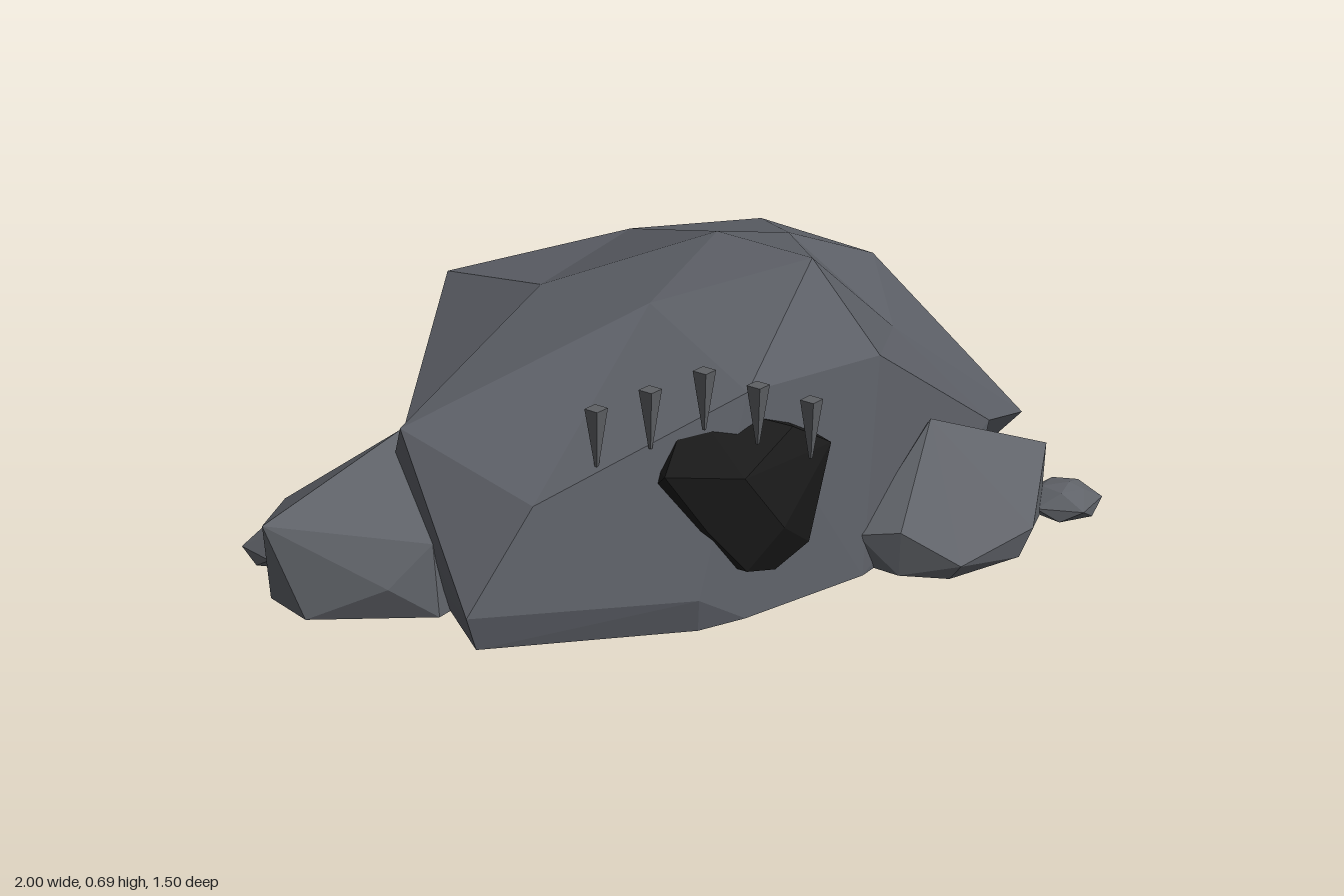
import * as THREE from 'three';
import { ConvexGeometry } from 'three/addons/geometries/ConvexGeometry.js';

const material = (name, color) => {
  const m = new THREE.MeshStandardMaterial({ color, side: THREE.DoubleSide, flatShading: true });
  m.name = name;
  return m;
};

// Faceted shell around corner points, left open where it rests on the ground.
// With a centre given, corners are joined by direction, so shallow dents survive.
function rock(name, points, mat, centre) {
  const corners = points.map(p => new THREE.Vector3(...p));
  const directions = centre && corners.map(c => c.clone().sub(centre).normalize());
  const src = new ConvexGeometry(directions || corners).attributes.position;
  const kept = [];
  for (let i = 0; i < src.count; i += 3) {
    const face = [0, 1, 2].map(k => {
      const v = new THREE.Vector3().fromBufferAttribute(src, i + k);
      return directions ? corners[directions.findIndex(d => d.distanceTo(v) < 1e-4)] : v;
    });
    if (face.some(v => v.y > 0.001)) face.forEach(v => kept.push(v.x, v.y, v.z));
  }
  const geometry = new THREE.BufferGeometry();
  geometry.setAttribute('position', new THREE.Float32BufferAttribute(kept, 3));
  geometry.computeVertexNormals();
  const mesh = new THREE.Mesh(geometry, mat);
  mesh.name = name;
  return mesh;
}

// Small stone: two staggered five-sided rings, a flat base and an off-centre peak
function pebble(name, x, z, r, h, turn, mat) {
  const points = [[r * 0.12, h, r * 0.1]];
  for (const [y, s, shift] of [[0, 0.8, 0], [0.4, 1, 0.63], [0.85, 0.55, 0]]) {
    for (let i = 0; i < 5; i++) {
      const a = turn + shift + i * Math.PI * 0.4;
      points.push([Math.cos(a) * r * s, y * h, Math.sin(a) * r * s]);
    }
  }
  const mesh = rock(name, points, mat);
  mesh.position.set(x, 0, z);
  return mesh;
}

export function createModel() {
  const group = new THREE.Group();
  group.name = 'rockCave';
  const stone = material('stone', 0x5c5f66);
  const lightStone = material('lightStone', 0x606369);
  const dark = material('caveDark', 0x1a1a1a);
  const spikeStone = material('spikeStone', 0x5e6064);

  // Main mound: crest, flanks, then the ground outline
  group.add(rock('mainRock', [
    [0.10, 0.69, 0.05], [0.29, 0.68, 0.23], [0.32, 0.555, -0.32], [-0.30, 0.56, 0],
    [-0.08, 0.61, 0.29], [0.10, 0.5, 0.57], [-0.50, 0.5, -0.29],
    [-0.03, 0.475, -0.63], [0.30, 0.485, -0.645], [0.55, 0.45, -0.45], [0.54, 0.385, -0.10],
    [0.43, 0.48, 0.33], [-0.64, 0.40, 0.445], [-0.37, 0.30, 0.67],
    [0.75, 0.19, 0.03],
    [0.18, 0.08, -0.75], [0.53, 0.08, -0.68], [0.91, 0.065, -0.32], [-0.52, 0.08, 0.745],
    [-0.02, 0.08, 0.71], [-0.66, 0.2, 0.23],
    [0.53, 0, -0.69], [0.20, 0, -0.68], [0.75, 0, -0.19], [0.70, 0, 0.08], [0.38, 0, 0.45],
    [0.09, 0, 0.64], [-0.02, 0, 0.69], [-0.50, 0, 0.73], [-0.62, 0, 0.2], [-0.36, 0, -0.33],
    [-0.05, 0, -0.55],
  ], stone, new THREE.Vector3(0.08, 0.2, 0)));

  // Dark cave mouth, reaching back inside the mound
  group.add(rock('caveMouth', [
    [0.08, 0.35, 0.69], [-0.09, 0.355, 0.675], [0.29, 0.36, 0.53], [0.20, 0.415, 0.565],
    [0.16, 0.095, 0.6], [0.24, 0.14, 0.56], [0.09, 0.12, 0.66], [0.0, 0.23, 0.685],
    [0.17, 0.22, 0.66], [-0.02, 0.475, 0.54], [0.27, 0.2, 0.45], [0.2, 0.35, 0.3],
    [-0.13, 0.31, 0.29], [-0.19, 0.1, 0.35],
  ], dark));

  // Side boulders
  group.add(rock('rightBoulder', [
    [-0.945, 0.2, 0.48], [-0.935, 0, 0.42], [-0.635, 0.335, 0.29], [-0.58, 0.17, 0.55],
    [-0.68, 0.08, 0.58], [-0.57, 0, 0.56], [-0.86, 0, 0.54], [-0.9, 0.1, 0.1],
    [-0.88, 0, 0.1], [-0.69, 0.14, -0.02], [-0.61, 0.2, 0.05], [-0.66, 0, 0.0],
    [-0.42, 0.16, 0.36], [-0.47, 0.14, 0.14], [-0.42, 0, 0.38], [-0.48, 0, 0.15],
  ], lightStone));
  group.add(rock('leftBoulder', [
    [0.57, 0.28, 0.225], [0.74, 0.16, 0.02], [0.87, 0.16, 0.11], [0.86, 0.06, 0.06],
    [0.78, 0.07, 0.39], [0.59, 0.04, 0.515], [0.46, 0.11, 0.475], [0.37, 0.09, 0.43],
    [0.72, 0, 0.02], [0.85, 0, 0.09], [0.85, 0, 0.16], [0.75, 0, 0.39],
    [0.57, 0, 0.49], [0.46, 0, 0.46], [0.38, 0, 0.38], [0.42, 0, 0.15],
  ], lightStone));

  // Scattered pebbles
  [
    [0.908, 0.14, 0.094, 0.075, 0.63], [-0.74, -0.1, 0.107, 0.08, 0.4], [-0.455, -0.32, 0.095, 0.07, 0.9],
    [-0.84, 0.04, 0.093, 0.075, 0.2], [-0.91, 0.2, 0.09, 0.075, 0.0],
  ].forEach(([x, z, r, h, turn], i) => group.add(pebble('pebble' + (i + 1), x, z, r, h, turn, lightStone)));

  // Row of downward spikes arched above the mouth
  for (let i = -2; i <= 2; i++) {
    const spike = new THREE.Mesh(new THREE.CylinderGeometry(0.025, 0.004, 0.135, 4), spikeStone);
    spike.name = 'spike' + (i + 3);
    spike.position.set(i * 0.115, 0.508 - Math.abs(i) * 0.038, 0.625);
    group.add(spike);
  }
  return group;
}
